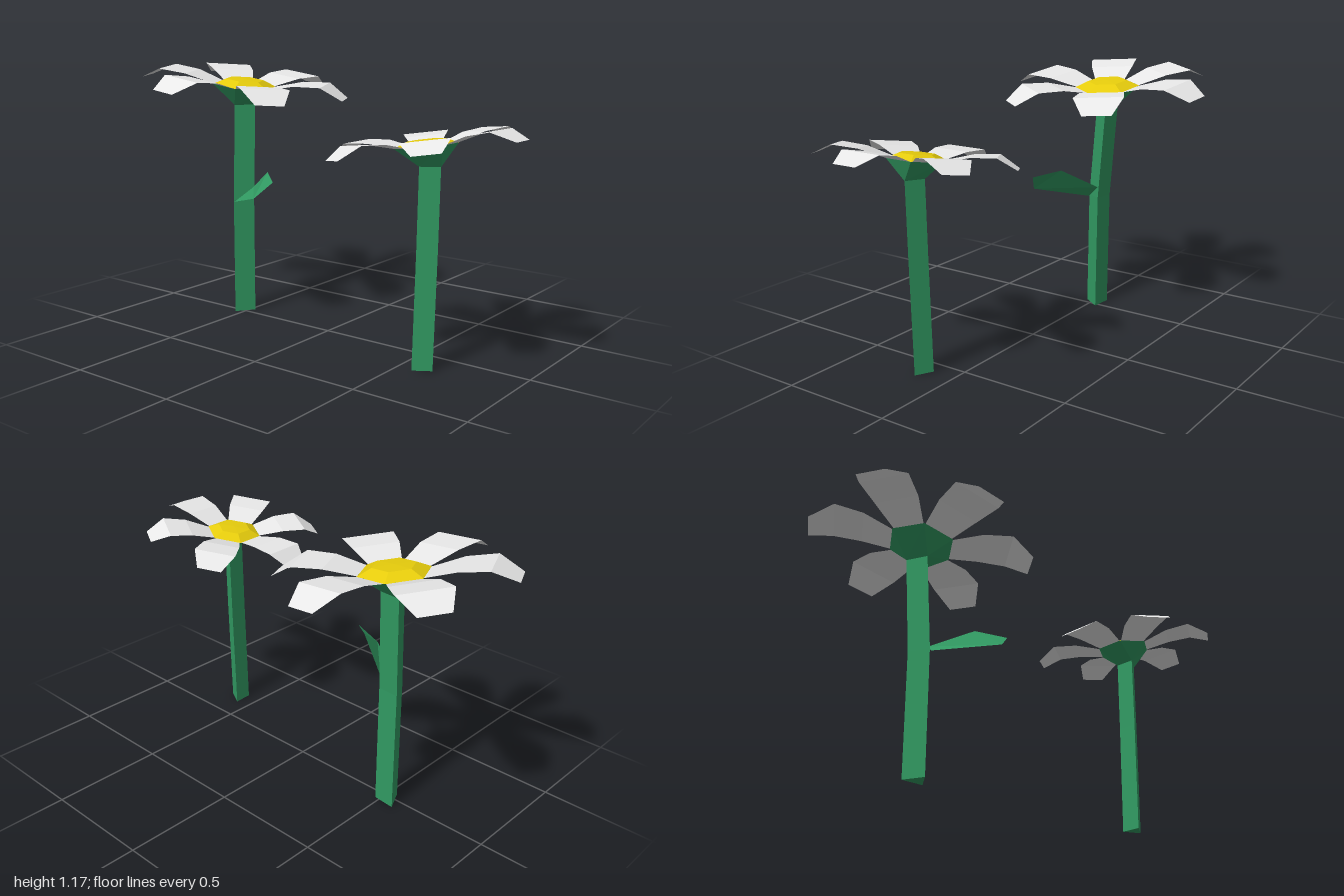
import * as THREE from 'three';

const material = (name, color, side = THREE.FrontSide) => {
  const m = new THREE.MeshStandardMaterial({ color, side, flatShading: true });
  m.name = name;
  return m;
};

// Ring of n points in a level plane, centred on [x, y, z]
const ring = ([x, y, z], r, n, turn) => Array.from({ length: n }, (_, i) => {
  const a = turn + (i / n) * Math.PI * 2;
  return new THREE.Vector3(x + r * Math.cos(a), y, z + r * Math.sin(a));
});

// Skin between successive rows of points, faceted; collapsed triangles are dropped
function loft(rows, closed = true) {
  const pts = [];
  const tri = (a, b, c) => {
    if (new THREE.Triangle(a, b, c).getArea() > 1e-7) pts.push(a, b, c);
  };
  for (let j = 0; j + 1 < rows.length; j++) {
    const low = rows[j], high = rows[j + 1], n = low.length;
    for (let i = 0; i < (closed ? n : n - 1); i++) {
      const k = (i + 1) % n;
      tri(low[i], high[i], low[k]);
      tri(high[i], high[k], low[k]);
    }
  }
  const g = new THREE.BufferGeometry().setFromPoints(pts);
  g.computeVertexNormals();
  return g;
}

function part(name, geometry, mat) {
  const mesh = new THREE.Mesh(geometry, mat);
  mesh.name = name;
  return mesh;
}

// Petal outline: [distance from centre, height, half width]
const PETAL = [[0.13, 0, 0.07], [0.26, 0.035, 0.1], [0.385, 0.045, 0.112], [0.485, -0.01, 0.065]];

function flower({ name, path, stemRadius, turn, head, size, slope }, mats) {
  const group = new THREE.Group();
  group.name = name;

  // Three-sided bent stem with a closed foot
  const stemRings = path.map((p) => ring(p, stemRadius, 3, turn));
  group.add(part('stem', loft([ring(path[0], 0, 3, turn), ...stemRings]), mats.green));

  // Calyx flares from the three stem corners to the six-sided rim
  const top = stemRings[stemRings.length - 1];
  const rim = ring(head, 0.15 * size, 6, turn - Math.PI / 6);
  rim.forEach((p) => { p.y += slope * (p.x - head[0]); });
  group.add(part('calyx', loft([rim.map((_, i) => top[i >> 1]), rim]), mats.green));

  // Tilted blossom
  const blossom = new THREE.Group();
  blossom.name = 'blossom';
  blossom.position.set(...head);
  blossom.rotation.z = Math.atan(slope);
  group.add(blossom);

  // Low domed centre
  const dome = [[0.15, 0], [0.09, 0.027], [0, 0.03]]
    .map(([r, y]) => ring([0, y * size, 0], r * size, 6, turn - Math.PI / 6));
  blossom.add(part('flowerCentre', loft(dome), mats.yellow));

  // Six drooping petals
  const petal = loft(PETAL.map(([r, y, w]) => [
    new THREE.Vector3(r, y, w).multiplyScalar(size),
    new THREE.Vector3(r, y, -w).multiplyScalar(size),
  ]), false);
  for (let i = 0; i < 6; i++) {
    const mesh = part('petal', petal, mats.white);
    mesh.rotation.y = -turn - (i * Math.PI) / 3;
    blossom.add(mesh);
  }
  return group;
}

export function createModel() {
  const mats = {
    green: material('leaf green', 0x319a62, THREE.DoubleSide),
    white: material('petal white', 0xe8e8e8, THREE.DoubleSide),
    yellow: material('centre yellow', 0xe6cc0c),
  };
  const model = new THREE.Group();
  model.name = 'flowers';

  const tall = flower({
    name: 'tallFlower',
    path: [[-0.53, 0, -0.02], [-0.53, 0.55, -0.023], [-0.54, 0.995, -0.052]],
    stemRadius: 0.057, turn: THREE.MathUtils.degToRad(95),
    head: [-0.535, 1.085, -0.055], size: 1, slope: -0.115,
  }, mats);

  // Single leaf growing from one side of the tall stem
  const base = new THREE.Vector3(-0.53, 0.54, 0.035);
  const upper = new THREE.Vector3(-0.48, 0.605, -0.045);
  const peak = new THREE.Vector3(-0.307, 0.707, 0.052);
  const tip = new THREE.Vector3(-0.2, 0.682, 0.14);
  const lower = new THREE.Vector3(-0.275, 0.607, 0.185);
  tall.add(part('leaf', loft([[base, upper], [lower, peak], [tip, tip]], false), mats.green));

  const short = flower({
    name: 'shortFlower',
    path: [[0.595, 0, 0.152], [0.608, 0.5, 0.152], [0.614, 0.835, 0.152]],
    stemRadius: 0.049, turn: THREE.MathUtils.degToRad(-1.5),
    head: [0.592, 0.912, 0.147], size: 0.84, slope: 0.14,
  }, mats);

  model.add(tall, short);
  return model;
}
